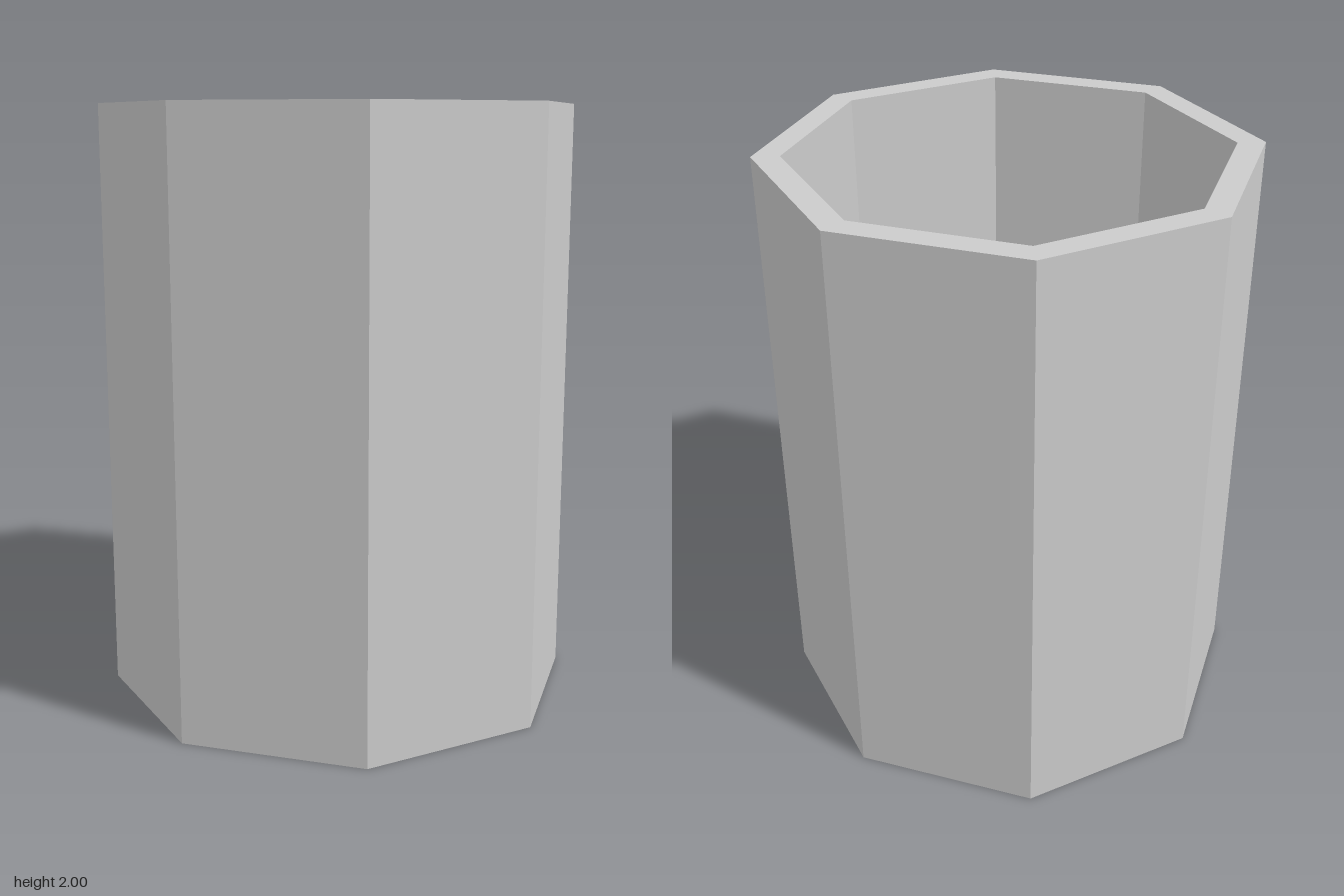
import * as THREE from 'three';

const SIDES = 8, HEIGHT = 2, OUTER = 0.8, INNER = 0.71, FLOOR = 0.09;

export function createModel() {
  const group = new THREE.Group();
  group.name = 'octagonalCup';

  // Closed profile: underside, outer wall, rim, inner wall, inside floor
  const profile = [
    [0, 0], [OUTER, 0], [OUTER, HEIGHT], [INNER, HEIGHT], [INNER, FLOOR], [0, FLOOR],
  ].map(([x, y]) => new THREE.Vector2(x, y));

  // Eight flat sides, with a corner on each axis
  const geometry = new THREE.LatheGeometry(profile, SIDES).toNonIndexed();
  geometry.computeVertexNormals();

  const cup = new THREE.Mesh(
    geometry,
    new THREE.MeshStandardMaterial({ color: 0xcccccc, flatShading: true }),
  );
  cup.name = 'cupBody';
  group.add(cup);
  return group;
}
